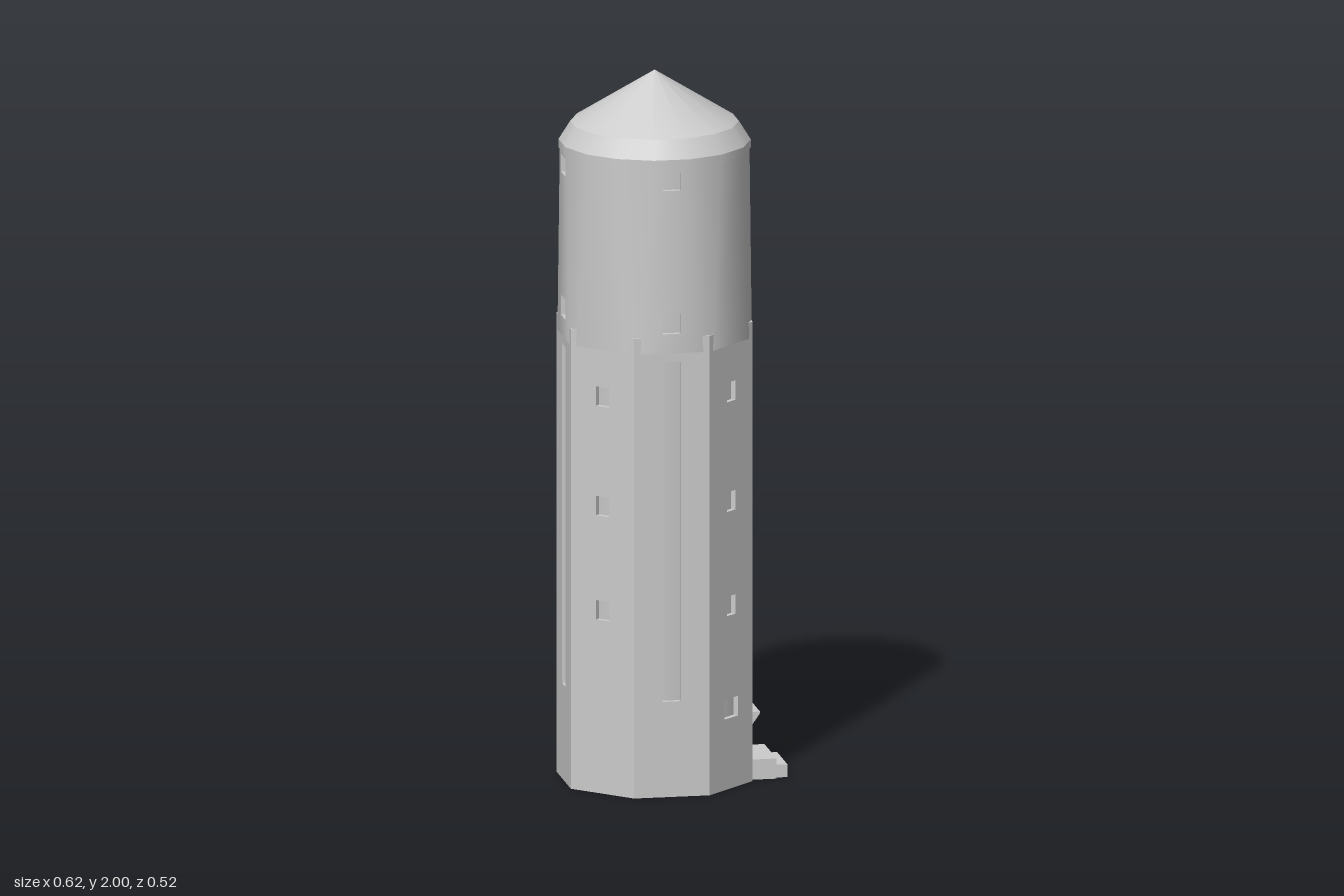
import * as THREE from 'three';

const stone = new THREE.MeshStandardMaterial({ color: 0xcccccc });
stone.name = 'paleStone';

const CX = -0.05;            // tower axis
const SHAFT = 0.255;         // octagon apothem
const DRUM = 0.2565;         // drum apothem
const WALL = 0.015;          // depth of the recesses
const COS16 = Math.cos(Math.PI / 16);

function add(parent, name, geometry, x = 0, y = 0, z = 0) {
  const mesh = new THREE.Mesh(geometry, stone);
  mesh.name = name;
  mesh.position.set(x, y, z);
  parent.add(mesh);
  return mesh;
}

// Flat wall panel (trapezoid) with rectangular holes [width, bottom, top]
function panel(halfBottom, halfTop, y0, y1, apothem, holes) {
  const shape = new THREE.Shape([
    new THREE.Vector2(-halfBottom, y0), new THREE.Vector2(halfBottom, y0),
    new THREE.Vector2(halfTop, y1), new THREE.Vector2(-halfTop, y1),
  ]);
  for (const [w, b, t] of holes) {
    shape.holes.push(new THREE.Path([
      new THREE.Vector2(-w / 2, b), new THREE.Vector2(-w / 2, t),
      new THREE.Vector2(w / 2, t), new THREE.Vector2(w / 2, b),
    ]));
  }
  const g = new THREE.ExtrudeGeometry(shape, { depth: WALL, bevelEnabled: false });
  return g.translate(0, 0, apothem - WALL);
}

// Make outward faces shade as a round wall
function roundNormals(g) {
  const p = g.attributes.position, n = g.attributes.normal;
  for (let i = 0; i < p.count; i++) {
    if (n.getZ(i) < 0.9) continue;
    const r = Math.hypot(p.getX(i), p.getZ(i));
    n.setXYZ(i, p.getX(i) / r, 0, p.getZ(i) / r);
  }
  return g;
}

// Sixteen-sided ring given by apothems
function ring(top, bottom, y0, y1, open = false) {
  return new THREE.CylinderGeometry(top / COS16, bottom / COS16, y1 - y0, 16, 1, open, Math.PI / 16)
    .translate(0, (y0 + y1) / 2, 0);
}

export function createModel() {
  const model = new THREE.Group();
  model.name = 'waterTower';
  const tower = new THREE.Group();
  tower.name = 'tower';
  tower.position.x = CX;
  model.add(tower);

  // Octagonal shaft: closed core with eight recessed wall panels
  const core = SHAFT - WALL + 0.001;
  add(tower, 'shaftCore', new THREE.CylinderGeometry(core / Math.cos(Math.PI / 8),
    core / Math.cos(Math.PI / 8), 1.299, 8, 1, false, Math.PI / 8), 0, 0.6495, 0);
  const half = SHAFT * Math.tan(Math.PI / 8);
  const smallWindows = [[0.042, 0.49, 0.545], [0.042, 0.785, 0.84], [0.042, 1.095, 1.15]];
  for (let i = 0; i < 8; i++) {
    const holes = i % 2 ? [...smallWindows] : [[0.05, 0.27, 1.23]];
    if (i === 1 || i === 3) holes.push([0.066, 0.2, 0.255]);
    if (i === 2) holes.push([0.07, 0.2, 0.255], [0.09, 0.03, 0.14]);
    add(tower, 'shaftWall', panel(half, half, 0, 1.3, SHAFT, holes)).rotation.y = i * Math.PI / 4;
  }

  // Drum: chamfered octagon at the foot, becoming sixteen-sided at the top
  const y0 = 1.255, y1 = 1.785, wide = 0.085, narrow = DRUM * Math.tan(Math.PI / 16);
  add(tower, 'drumCore', ring(DRUM - WALL + 0.001, DRUM - WALL + 0.001, y0, y1));
  const corner = (x, y, turn) =>
    new THREE.Vector3(x, y, DRUM).applyAxisAngle(new THREE.Vector3(0, 1, 0), turn);
  for (let i = 0; i < 8; i++) {
    const turn = i * Math.PI / 4;
    const w = i % 4 === 2 ? 0.066 : 0.05;
    const holes = i % 2 ? [] : [[w, 1.31, 1.367], [w, 1.715, 1.765]];
    add(tower, 'drumWall', roundNormals(panel(wide, narrow, y0, y1, DRUM, holes))).rotation.y = turn;

    const next = Math.PI / 4;
    const pts = [corner(wide, y0, 0), corner(-wide, y0, next), corner(-narrow, y1, next), corner(narrow, y1, 0)];
    const g = new THREE.BufferGeometry().setFromPoints(pts);
    g.setIndex([0, 1, 2, 0, 2, 3]);
    const normals = pts.flatMap((p) => new THREE.Vector3(p.x, 0, p.z).normalize().toArray());
    g.setAttribute('normal', new THREE.Float32BufferAttribute(normals, 3));
    add(tower, 'drumChamfer', g).rotation.y = turn;
  }

  // Roof
  add(tower, 'eaveBand', ring(0.26, 0.26, 1.78, 1.803));
  add(tower, 'eaveSlope', ring(0.228, 0.26, 1.803, 1.855, true));
  add(tower, 'roofCone', ring(0, 0.228, 1.855, 2, true));

  // Entrance steps
  const steps = new THREE.Group();
  steps.name = 'entranceSteps';
  model.add(steps);
  add(steps, 'upperStep', new THREE.BoxGeometry(0.085, 0.057, 0.18), 0.2325, 0.0285, 0);
  add(steps, 'lowerStep', new THREE.BoxGeometry(0.053, 0.036, 0.152), 0.2815, 0.018, 0);

  // Wedge canopy over the door
  const wedge = new THREE.Shape([
    new THREE.Vector2(0.2, 0.155), new THREE.Vector2(0.209, 0.155),
    new THREE.Vector2(0.23, 0.185), new THREE.Vector2(0.23, 0.19), new THREE.Vector2(0.2, 0.19),
  ]);
  add(model, 'doorCanopy', new THREE.ExtrudeGeometry(wedge, { depth: 0.164, bevelEnabled: false }), 0, 0, -0.082);

  return model;
}
